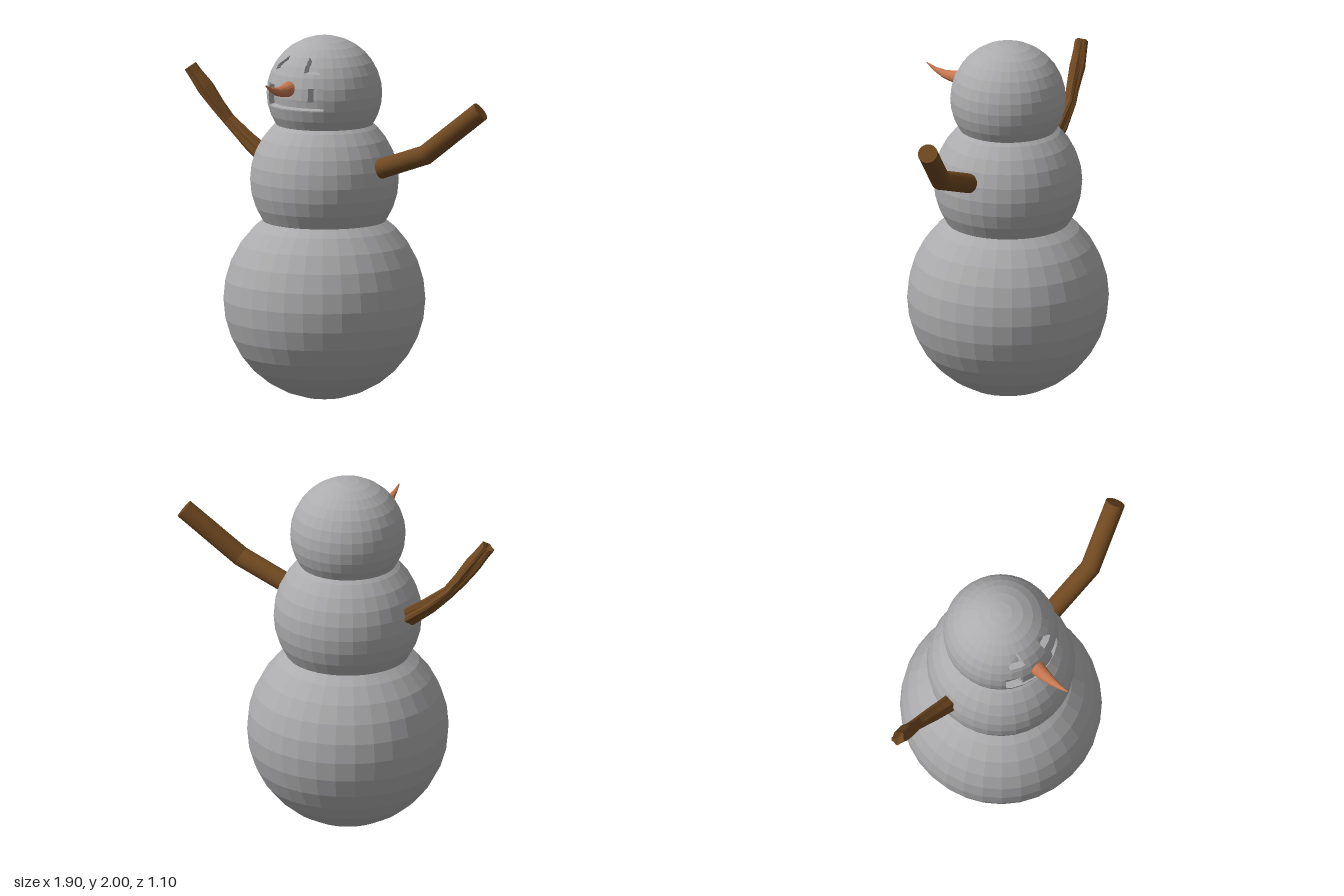
import * as THREE from 'three';

const CX = -0.06; // the body stands a little to one side of the arm span

// Closed tube through stations [x, y, z, radius]; ref is any axis not along the path
function loft(stations, sides, ref, wrinkle = () => 1, endDent = 0) {
  const pts = stations.map(s => new THREE.Vector3(s[0], s[1], s[2]));
  const last = pts.length - 1, pos = [], idx = [];
  const tangents = pts.map((p, i) => {
    const t = new THREE.Vector3();
    if (i > 0) t.add(p.clone().sub(pts[i - 1]).normalize());
    if (i < last) t.add(pts[i + 1].clone().sub(p).normalize());
    return t.normalize();
  });
  pts.forEach((p, i) => {
    const u = ref.clone().cross(tangents[i]).normalize();
    const v = tangents[i].clone().cross(u);
    for (let j = 0; j < sides; j++) {
      const a = (j / sides) * Math.PI * 2, r = stations[i][3] * wrinkle(a, i);
      const q = p.clone().addScaledVector(u, Math.cos(a) * r).addScaledVector(v, Math.sin(a) * r);
      pos.push(q.x, q.y, q.z);
    }
  });
  const end = pts[last].clone().addScaledVector(tangents[last], -endDent);
  pos.push(...pts[0].toArray(), ...end.toArray());
  const c0 = pts.length * sides, c1 = c0 + 1;
  for (let j = 0; j < sides; j++) {
    const k = (j + 1) % sides;
    for (let i = 0; i < last; i++) {
      const a = i * sides + j, b = i * sides + k;
      idx.push(a, b, b + sides, a, b + sides, a + sides);
    }
    idx.push(c0, k, j, c1, last * sides + j, last * sides + k);
  }
  return build(pos, idx);
}

function build(pos, idx) {
  const g = new THREE.BufferGeometry();
  g.setAttribute('position', new THREE.Float32BufferAttribute(pos, 3));
  g.setIndex(idx);
  g.computeVertexNormals();
  return g;
}

// Depth of the carved grin and eyes at a point on the face
function carving(x, y) {
  const e = Math.abs(x + 0.075);
  const grin = e < 0.185 && y > 1.63 && y < 1.75 && (e > 0.115 || y < 1.675);
  const eye = e > 0.07 && e < 0.145 && y > 1.83 && y < 1.905 - (e - 0.07) * 0.8;
  return grin ? 0.045 : eye ? 0.035 : 0;
}

// Faceted sphere whose face cells are finely divided and pushed in by the carving
function carvedHead(radius, cy) {
  const W = 32, H = 16, pos = [], idx = [];
  const corner = (i, j) => {
    const th = (i / H) * Math.PI, ph = (j / W) * Math.PI * 2;
    return new THREE.Vector3(
      CX + radius * Math.sin(th) * Math.sin(ph),
      cy + radius * Math.cos(th),
      radius * Math.sin(th) * Math.cos(ph));
  };
  for (let i = 0; i < H; i++) {
    for (let j = -W / 2; j < W / 2; j++) {
      const face = i >= 3 && i <= 10 && j >= -6 && j < 6;
      const n = face ? 10 : 1, base = pos.length / 3;
      const tl = corner(i, j), tr = corner(i, j + 1);
      const bl = corner(i + 1, j), br = corner(i + 1, j + 1);
      for (let a = 0; a <= n; a++) {
        for (let b = 0; b <= n; b++) {
          const p = tl.clone().lerp(tr, b / n).lerp(bl.clone().lerp(br, b / n), a / n);
          if (face) p.z -= carving(p.x, p.y);
          pos.push(p.x, p.y, p.z);
        }
      }
      for (let a = 0; a < n; a++) {
        for (let b = 0; b < n; b++) {
          const q = base + a * (n + 1) + b, d = q + n + 1;
          idx.push(q, d, d + 1, q, d + 1, q + 1);
        }
      }
    }
  }
  return build(pos, idx);
}

export function createModel() {
  const group = new THREE.Group();
  const material = (name, color) => {
    const m = new THREE.MeshStandardMaterial({ color, flatShading: true });
    m.name = name;
    return m;
  };
  const snow = material('snow', 0xacacae);
  const bark = material('bark', 0x6f4820);
  const carrot = material('carrot', 0xc87850);
  const add = (name, geometry, mat) => {
    const m = new THREE.Mesh(geometry, mat);
    m.name = name;
    group.add(m);
    return m;
  };

  // Stacked snowballs
  add('lowerBody', new THREE.SphereGeometry(0.55, 32, 16), snow).position.set(CX, 0.55, 0);
  add('upperBody', new THREE.SphereGeometry(0.405, 32, 16), snow).position.set(CX, 1.21, 0);
  add('head', carvedHead(0.315, 1.685), snow);

  // Upturned carrot nose
  const xAxis = new THREE.Vector3(1, 0, 0), zAxis = new THREE.Vector3(0, 0, 1);
  add('nose', loft([
    [-0.085, 1.743, 0.24, 0.046], [-0.085, 1.741, 0.3, 0.043], [-0.085, 1.737, 0.36, 0.033],
    [-0.084, 1.742, 0.42, 0.023], [-0.082, 1.762, 0.48, 0.012], [-0.08, 1.79, 0.53, 0.003],
  ], 16, xAxis), carrot);

  // Smooth bent branch on the left
  add('leftArm', loft([
    [0.32, 1.3, 0.015, 0.054], [0.62, 1.405, 0.015, 0.055], [0.918, 1.66, -0.085, 0.054],
  ], 32, zAxis), bark);

  // Gnarled, grooved branch on the right, with a hollow broken end
  const grooves = (a, i) => 1 + 0.13 * Math.cos(5 * a + i * 0.6) + 0.06 * Math.cos(2 * a);
  add('rightArm', loft([
    [-0.445, 1.28, -0.018, 0.047], [-0.58, 1.375, -0.014, 0.041], [-0.7, 1.475, -0.008, 0.032],
    [-0.765, 1.555, 0.01, 0.036], [-0.83, 1.645, 0.025, 0.042], [-0.88, 1.715, 0.04, 0.036],
    [-0.912, 1.762, 0.05, 0.035],
  ], 20, zAxis, grooves, 0.03), bark);

  return group;
}
